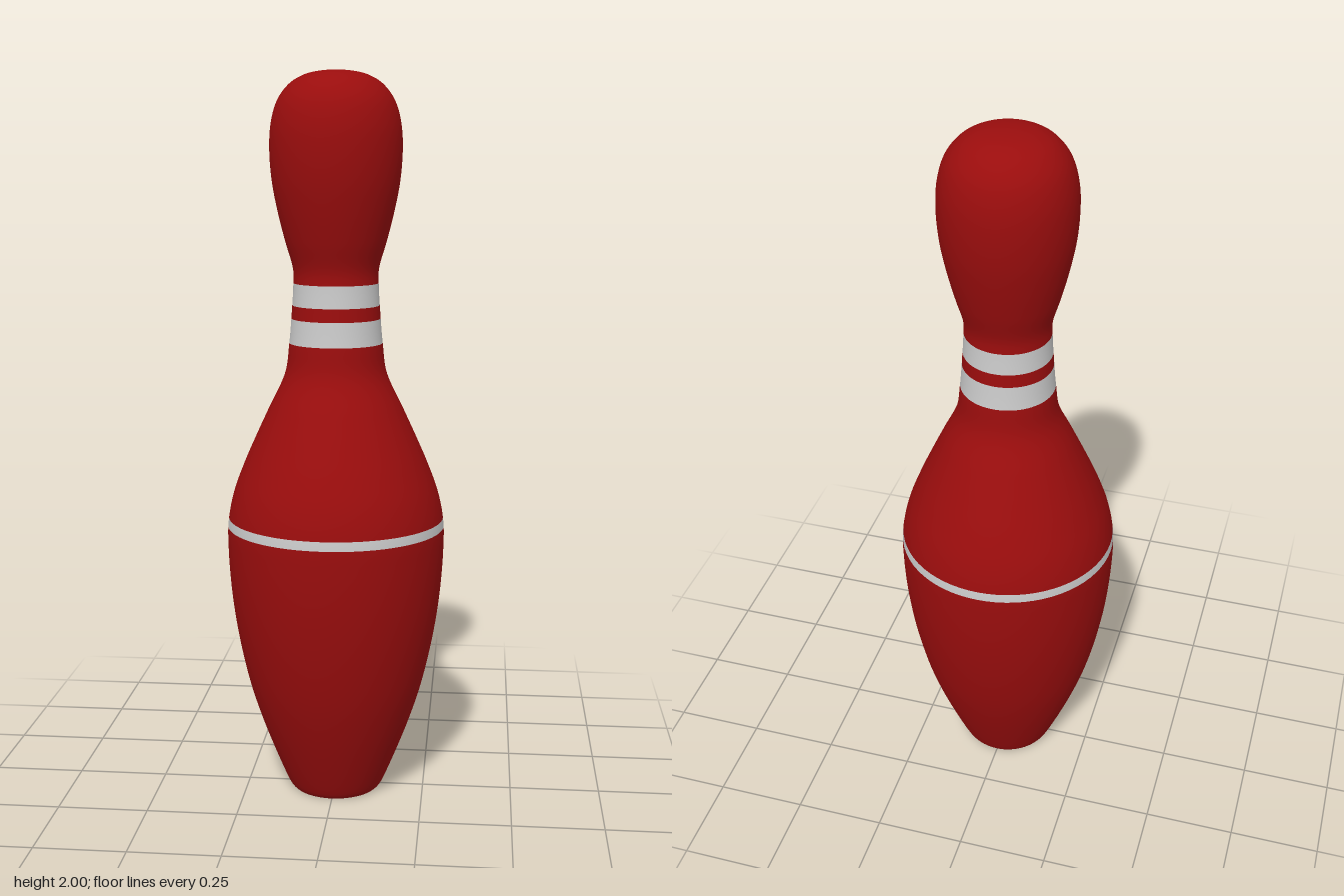
import * as THREE from 'three';

const RED = new THREE.MeshStandardMaterial({ color: 0x9a0d0d });
const WHITE = new THREE.MeshStandardMaterial({ color: 0xcccccc });
const SIDES = 72;

// Pin outline from foot to crown as [radius, height]
const OUTLINE = [
  [0.122, 0], [0.136, 0.02], [0.17, 0.1], [0.208, 0.2], [0.24, 0.3], [0.264, 0.4],
  [0.282, 0.5], [0.294, 0.6], [0.3, 0.7], [0.299, 0.78], [0.283, 0.86], [0.254, 0.94],
  [0.219, 1.02], [0.182, 1.1], [0.14, 1.19], [0.128, 1.27], [0.121, 1.35], [0.116, 1.43],
  [0.117, 1.48], [0.137, 1.55], [0.157, 1.63], [0.172, 1.71], [0.178, 1.79], [0.174, 1.86],
  [0.157, 1.92], [0.125, 1.963], [0.085, 1.987], [0.043, 1.997], [0, 2],
];
const profile = new THREE.SplineCurve(OUTLINE.map(([r, y]) => new THREE.Vector2(r, y))).getPoints(200);
profile[profile.length - 1].set(0, 2);

// Point on the outline at a given height
function pointAt(y) {
  const i = Math.max(1, profile.findIndex((p) => p.y >= y));
  const a = profile[i - 1], b = profile[i];
  return a.clone().lerp(b, (y - a.y) / (b.y - a.y));
}

// Slice of the turned body between two heights
function section(name, from, to, material) {
  const inner = profile.filter((p) => p.y > from + 1e-4 && p.y < to - 1e-4);
  const points = [pointAt(from), ...inner, pointAt(to)];
  const mesh = new THREE.Mesh(new THREE.LatheGeometry(points, SIDES), material);
  mesh.name = name;
  return mesh;
}

export function createModel() {
  const pin = new THREE.Group();
  pin.name = 'bowlingPin';

  // Red body alternating with painted white bands
  const sections = [
    ['belly', 0, 0.765, RED],
    ['bellyStripe', 0.765, 0.79, WHITE],
    ['shoulder', 0.79, 1.275, RED],
    ['lowerNeckStripe', 1.275, 1.342, WHITE],
    ['neck', 1.342, 1.378, RED],
    ['upperNeckStripe', 1.378, 1.438, WHITE],
    ['head', 1.438, 2, RED],
  ];
  for (const args of sections) pin.add(section(...args));

  // Flat underside
  const base = new THREE.Mesh(new THREE.CircleGeometry(OUTLINE[0][0], SIDES), RED);
  base.name = 'base';
  base.rotation.x = Math.PI / 2;
  pin.add(base);

  return pin;
}
